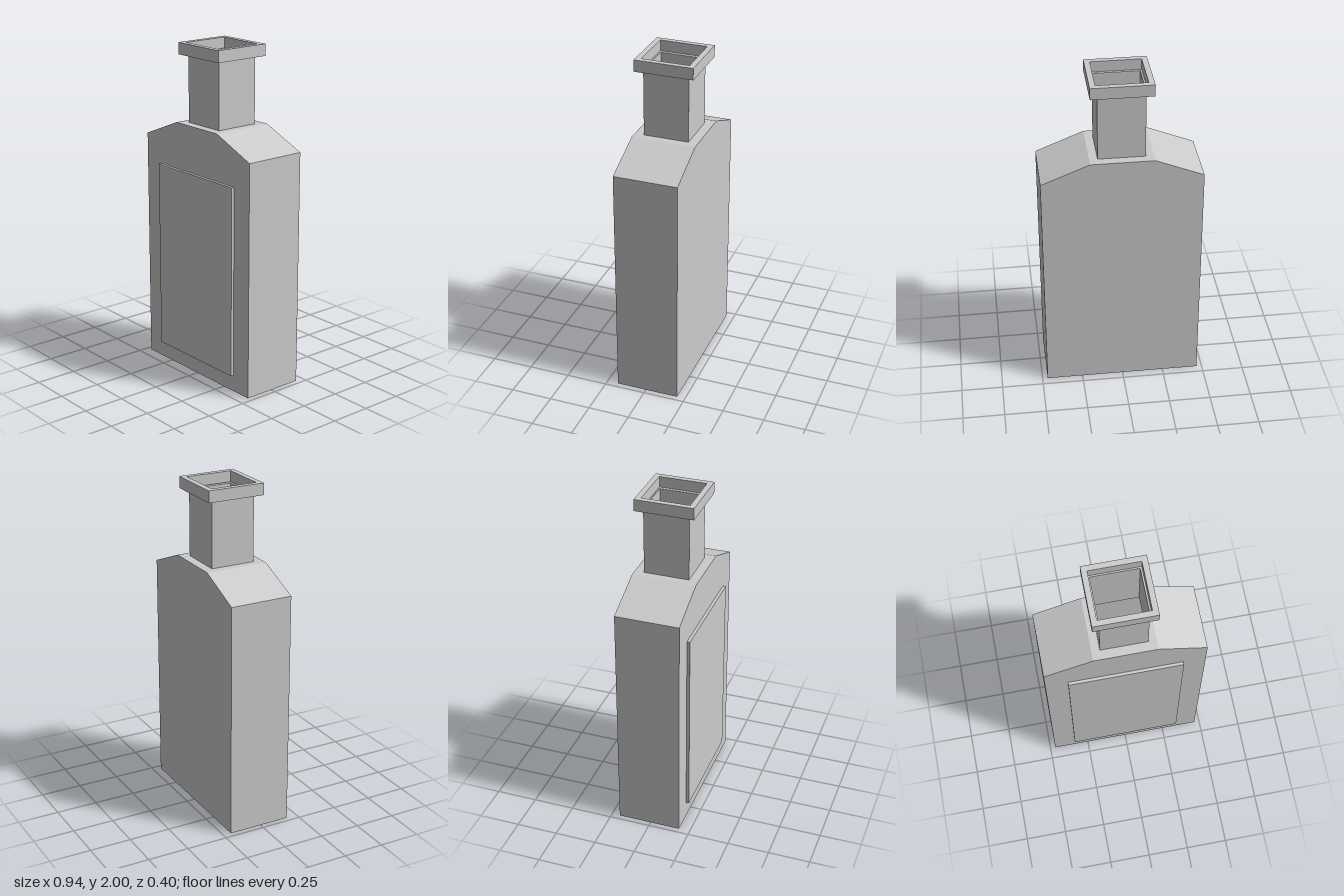
import * as THREE from 'three';

const CZ = -0.009; // the bottle sits slightly back, the label panel stands proud in front
const material = new THREE.MeshStandardMaterial({ color: 0xcccccc, flatShading: true, side: THREE.DoubleSide });

// Skin a series of rectangular rings [half width, half depth, height]
function loftRings(name, rings) {
  const corners = [[1, 1], [1, -1], [-1, -1], [-1, 1]];
  const point = ([hx, hz, y], i) => [corners[i % 4][0] * hx, y, corners[i % 4][1] * hz + CZ];
  const positions = [];
  for (let r = 0; r < rings.length - 1; r++) {
    const lower = rings[r], upper = rings[r + 1];
    for (let i = 0; i < 4; i++) {
      const a = point(lower, i), b = point(lower, i + 1);
      const c = point(upper, i + 1), d = point(upper, i);
      positions.push(...a, ...c, ...d);
      if (lower[0] > 0) positions.push(...a, ...b, ...c); // a ring of zero size closes to a point
    }
  }
  const geometry = new THREE.BufferGeometry();
  geometry.setAttribute('position', new THREE.Float32BufferAttribute(positions, 3));
  geometry.computeVertexNormals();
  const mesh = new THREE.Mesh(geometry, material);
  mesh.name = name;
  return mesh;
}

export function createModel() {
  const bottle = new THREE.Group();
  bottle.name = 'bottle';

  // Body with recessed base and shoulders sloping to both sides
  bottle.add(loftRings('body', [
    [0, 0, 0.035], [0.377, 0.101, 0.035], [0.41, 0.133, 0], [0.468, 0.191, 0],
    [0.468, 0.191, 1.415], [0.185, 0.191, 1.53], [0.137, 0.135, 1.53],
  ]));

  // Open, thin-walled neck
  bottle.add(loftRings('neck', [[0.137, 0.135, 1.53], [0.137, 0.135, 1.93]]));

  // Square collar around the mouth, with an inner ledge
  bottle.add(loftRings('lip', [
    [0.137, 0.135, 1.93], [0.18, 0.175, 1.93], [0.18, 0.175, 2],
    [0.147, 0.142, 2], [0.147, 0.142, 1.935], [0.137, 0.135, 1.935],
  ]));

  // Raised label panel on the front
  const label = new THREE.Mesh(new THREE.BoxGeometry(0.673, 1.15, 0.018), material);
  label.name = 'labelPanel';
  label.position.set(0, 0.675, 0.191);
  bottle.add(label);

  return bottle;
}
